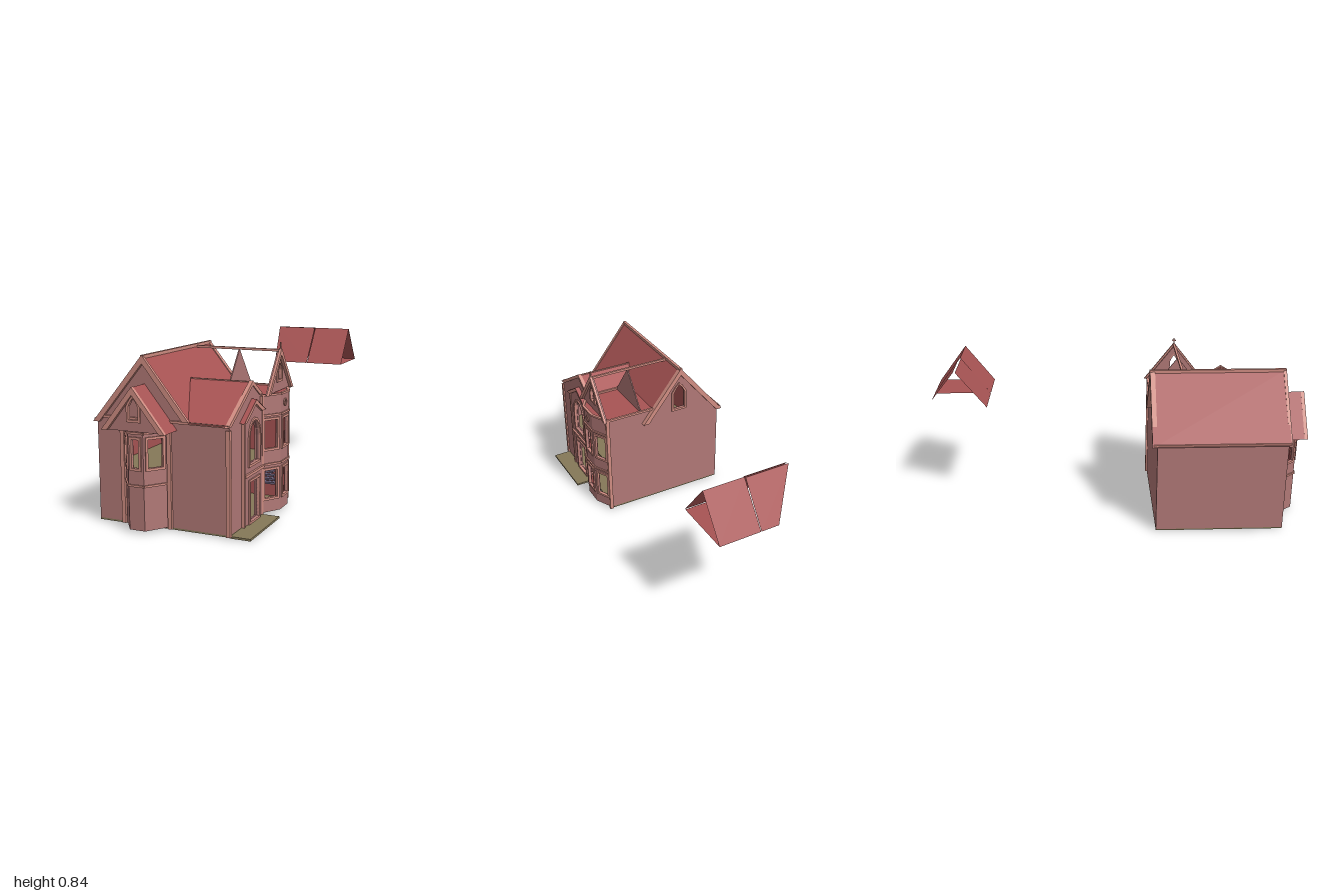
import * as THREE from 'three';

const mat = (color) => new THREE.MeshStandardMaterial({ color, side: THREE.DoubleSide, flatShading: true });

export function createModel() {
  const root = new THREE.Group();
  const WALL = mat(0xb07876), TRIM = mat(0xd08d82), ROOF = mat(0xa85454), FLOOR = mat(0x857858), STAIR = mat(0x6a6078);
  const T = 0.01; // wall thickness

  const add = (name, geo, m) => {
    const mesh = new THREE.Mesh(geo, m);
    mesh.name = name;
    root.add(mesh);
    return mesh;
  };
  const shapeOf = (pts, holes = []) => {
    const s = new THREE.Shape(pts.map((p) => new THREE.Vector2(...p)));
    holes.forEach((h) => s.holes.push(new THREE.Path(h.map((p) => new THREE.Vector2(...p)))));
    return s;
  };
  // Moves a geometry drawn in (u, y) to an upright plane: u runs along dir from origin, both given as [x, z]
  const stand = (geo, [ox, oz], [dx, dz]) => {
    const l = Math.hypot(dx, dz), ux = dx / l, uz = dz / l;
    const m = new THREE.Matrix4().makeBasis(
      new THREE.Vector3(ux, 0, uz), new THREE.Vector3(0, 1, 0), new THREE.Vector3(-uz, 0, ux));
    return geo.applyMatrix4(m.setPosition(ox, 0, oz));
  };
  // Flat slab on an upright plane, from offset n0 to n1 along its outward normal
  const slab = (name, pts, holes, o, d, n0, n1, m) =>
    add(name, stand(new THREE.ExtrudeGeometry(shapeOf(pts, holes), { depth: n1 - n0, bevelEnabled: false })
      .translate(0, 0, n0), o, d), m);
  // Frame around an opening
  const frame = (pts, o, d, w = 0.012) => {
    const us = pts.map((p) => p[0]), ys = pts.map((p) => p[1]);
    const u0 = Math.min(...us), u1 = Math.max(...us), y0 = Math.min(...ys), y1 = Math.max(...ys);
    const cu = (u0 + u1) / 2, cy = (y0 + y1) / 2, ku = 1 + 2 * w / (u1 - u0), ky = 1 + 2 * w / (y1 - y0);
    const outer = pts.map(([u, y]) => [cu + (u - cu) * ku, cy + (y - cy) * ky]);
    slab('windowFrame', outer, [pts], o, d, -T, 0.007, TRIM);
  };
  // Outer wall with framed openings and a coloured inner lining
  const wall = (name, pts, holes, o, d, lined = true) => {
    slab(name, pts, holes, o, d, -T, 0, WALL);
    if (lined) add(name + 'Lining', stand(new THREE.ShapeGeometry(shapeOf(pts, holes)).translate(0, 0, -T - 0.002), o, d), ROOF);
    holes.forEach((h) => frame(h, o, d));
  };
  const rect = (u0, u1, y0, y1) => [[u0, y0], [u1, y0], [u1, y1], [u0, y1]];
  const housePane = (c, w, y0, y1, h) =>
    [[c - w, y0], [c + w, y0], [c + w, y1 - h], [c + w * 0.5, y1 - h * 0.4], [c, y1], [c - w * 0.5, y1 - h * 0.4], [c - w, y1 - h]];
  // Gable rake boards
  const rake = (name, L, A, R, w, o, d, n0, n1) => {
    const dy = w * (A[1] - L[1]) / (A[0] - L[0]);
    slab(name, [L, [L[0] + w, L[1]], [A[0], A[1] - dy], [R[0] - w, R[1]], R, A], [], o, d, n0, n1, TRIM);
  };
  // Square bar between two points
  const bar = (name, a, b, w, h = w, m = TRIM) => {
    const p = new THREE.Vector3(...a), q = new THREE.Vector3(...b);
    const mesh = add(name, new THREE.BoxGeometry(w, h, p.distanceTo(q)), m);
    mesh.position.copy(p).lerp(q, 0.5);
    mesh.lookAt(q);
  };
  // Thin convex polygon
  const sheet = (name, pts, m) => {
    const v = [];
    for (let i = 1; i < pts.length - 1; i++) v.push(...pts[0], ...pts[i], ...pts[i + 1]);
    const g = new THREE.BufferGeometry();
    g.setAttribute('position', new THREE.Float32BufferAttribute(v, 3));
    g.computeVertexNormals();
    add(name, g, m);
  };
  const block = (name, x0, x1, y0, y1, z0, z1, m) =>
    add(name, new THREE.BoxGeometry(x1 - x0, y1 - y0, z1 - z0), m).position.set((x0 + x1) / 2, (y0 + y1) / 2, (z0 + z1) / 2);
  const FRONT = [1, 0], BACK = [-1, 0], RIGHT = [0, -1], LEFT = [0, 1];

  // Plan of the two bays
  const frontBay = [[-0.235, 0.875], [-0.165, 0.97], [-0.085, 0.97], [-0.015, 0.875]];
  const sideBay = [[0.3, 0.51], [0.365, 0.41], [0.365, 0.3], [0.315, 0.2]];

  // Floors and porch
  block('groundFloor', -0.385, 0.3, 0.005, 0.014, 0.2, 0.875, FLOOR);
  block('porch', 0.3, 0.4, 0, 0.01, 0.51, 0.87, FLOOR);
  block('upperFloor', -0.375, 0.29, 0.25, 0.257, 0.21, 0.865, FLOOR);
  for (const y of [0.012, 0.255])
    for (const bay of [frontBay, sideBay]) sheet('bayFloor', bay.map(([x, z]) => [x, y, z]), FLOOR);
  for (let i = 0; i < 6; i++) block('stairStep', 0.2, 0.28, 0.09 + i * 0.024, 0.1 + i * 0.024, 0.23 + i * 0.012, 0.26 + i * 0.012, STAIR);

  // Main walls
  wall('leftWall', rect(0.2, 0.875, 0.012, 0.5), [], [-0.385, 0], LEFT);
  slab('frontWall', [[-0.385, 0.012], [0.3, 0.012], [0.3, 0.52], [0.1, 0.52], [-0.13, 0.8], [-0.385, 0.5]],
    [rect(-0.225, -0.025, 0.02, 0.47)], [0, 0.875], FRONT, -T, 0, WALL);
  wall('backWall', [[-0.315, 0.012], [0.385, 0.012], [0.385, 0.5], [0.13, 0.8], [-0.035, 0.6], [-0.315, 0.6]],
    [housePane(0.13, 0.035, 0.56, 0.71, 0.05)], [0, 0.2], BACK);

  // Right wing wall, with a shallow entrance projection
  const door = rect(-0.675, -0.565, 0.02, 0.215);
  const arch = [[-0.68, 0.3], [-0.56, 0.3], [-0.56, 0.42]];
  for (let i = 1; i <= 8; i++) {
    const a = (i / 8) * Math.PI;
    arch.push([-0.62 + 0.06 * Math.cos(a), 0.42 + 0.085 * Math.sin(a)]);
  }
  slab('wingWall', [[-0.875, 0.012], [-0.51, 0.012], [-0.51, 0.61], [-0.615, 0.675], [-0.875, 0.52]],
    [door, arch], [0.3, 0], RIGHT, -T, 0, WALL);
  wall('entranceWall', [[-0.74, 0.012], [-0.51, 0.012], [-0.51, 0.535], [-0.62, 0.59], [-0.74, 0.515]],
    [door, arch], [0.312, 0], RIGHT, false);
  bar('entranceBelt', [0.315, 0.255, 0.74], [0.315, 0.255, 0.51], 0.014);
  bar('entranceCorner', [0.31, 0.012, 0.74], [0.31, 0.515, 0.74], 0.014);
  rake('entranceRake', [-0.765, 0.51], [-0.62, 0.602], [-0.505, 0.535], 0.035, [0.312, 0], RIGHT, 0, 0.012);
  sheet('entranceRoof', [[0.3, 0.512, 0.765], [0.326, 0.512, 0.765], [0.326, 0.604, 0.62], [0.3, 0.604, 0.62]], ROOF);
  sheet('entranceRoof', [[0.3, 0.537, 0.505], [0.326, 0.537, 0.505], [0.326, 0.604, 0.62], [0.3, 0.604, 0.62]], ROOF);

  // Corner posts and eave bands
  for (const [x, z, h] of [[0.298, 0.878, 0.5], [-0.247, 0.878, 0.48], [0, 0.878, 0.48], [0.303, 0.51, 0.6], [0.318, 0.2, 0.6]])
    bar('cornerPost', [x, 0.008, z], [x, h, z], 0.02);
  bar('frontEave', [-0.36, 0.518, 0.88], [0.3, 0.518, 0.88], 0.012);
  bar('leftEave', [-0.39, 0.5, 0.18], [-0.39, 0.5, 0.885], 0.014);

  // Main roof
  const ridge = [-0.13, 0.81];
  for (const [x, y] of [[-0.4, 0.495], [0.104, 0.518]])
    sheet('mainRoof', [[x, y, 0.175], [x, y, 0.885], [...ridge, 0.885], [...ridge, 0.175]], ROOF);
  bar('mainRidge', [-0.13, 0.809, 0.172], [-0.13, 0.809, 0.888], 0.016);
  rake('frontRake', [-0.4, 0.492], [-0.13, 0.818], [0.106, 0.522], 0.033, [0, 0.875], FRONT, 0, 0.016);
  rake('backRake', [-0.106, 0.522], [0.13, 0.818], [0.4, 0.492], 0.033, [0, 0.2], BACK, 0, 0.026);

  // Right wing roof, cut along the main slope
  sheet('wingRoofFront', [[-0.023, 0.682, 0.615], [0.3, 0.682, 0.615], [0.3, 0.518, 0.89], [0.104, 0.518, 0.89]], ROOF);
  sheet('wingRoofBack', [[-0.023, 0.682, 0.615], [0.3, 0.682, 0.615], [0.3, 0.605, 0.495], [0.04, 0.605, 0.495]], ROOF);
  bar('wingRidge', [-0.02, 0.681, 0.615], [0.3, 0.681, 0.615], 0.008);
  bar('wingBackEave', [0.04, 0.605, 0.497], [0.3, 0.605, 0.497], 0.01);
  rake('wingRake', [-0.895, 0.515], [-0.615, 0.688], [-0.495, 0.61], 0.035, [0.285, 0], RIGHT, 0, 0.02);

  // Bay facets with windows, belts and mullions
  const buildBay = (name, plan, top, windows, belts) => {
    for (let i = 0; i < plan.length - 1; i++) {
      const a = plan[i], b = plan[i + 1], d = [b[0] - a[0], b[1] - a[1]], l = Math.hypot(...d);
      wall(name + 'Wall', rect(0, l, 0.012, top), windows.map(([y0, y1]) => rect(0.022, l - 0.022, y0, y1)), a, d);
      for (const y of belts) bar(name + 'Belt', [a[0], y, a[1]], [b[0], y, b[1]], 0.014, 0.01);
    }
  };
  buildBay('frontBay', frontBay, 0.48, [[0.308, 0.442]], [0.225, 0.472]);
  buildBay('sideBay', sideBay, 0.6, [[0.085, 0.225], [0.335, 0.475]], [0.255, 0.5, 0.6]);

  // Front bay gable
  wall('frontBayGable', [[-0.275, 0.48], [0.025, 0.48], [-0.125, 0.67]],
    [housePane(-0.125, 0.024, 0.535, 0.635, 0.04)], [0, 0.978], FRONT, false);
  rake('frontBayRake', [-0.29, 0.48], [-0.125, 0.687], [0.04, 0.48], 0.03, [0, 0.978], FRONT, 0, 0.018);
  for (const x of [-0.29, 0.04])
    sheet('frontBayRoof', [[x, 0.48, 0.876], [x, 0.48, 0.996], [-0.125, 0.685, 0.996], [-0.125, 0.685, 0.876]], ROOF);
  sheet('frontBaySoffit', [[-0.275, 0.481, 0.876], [0.025, 0.481, 0.876], [0.025, 0.481, 0.978], [-0.275, 0.481, 0.978]], WALL);

  // Side bay attic: floor, vent, gables and exposed ridge beam
  sheet('atticFloor', [[0.04, 0.6, 0.51], [0.3, 0.6, 0.51], [0.365, 0.6, 0.41], [0.365, 0.6, 0.3], [0.315, 0.6, 0.2], [0.04, 0.6, 0.2]], ROOF);
  const vent = add('roundVent', new THREE.TorusGeometry(0.015, 0.005, 6, 12), TRIM);
  vent.rotation.y = Math.PI / 2;
  vent.position.set(0.367, 0.55, 0.355);
  wall('sideGable', [[-0.5, 0.602], [-0.19, 0.602], [-0.345, 0.8]],
    [housePane(-0.345, 0.022, 0.66, 0.745, 0.04)], [0.33, 0], RIGHT, false);
  rake('sideGableRake', [-0.513, 0.6], [-0.345, 0.815], [-0.177, 0.6], 0.026, [0.33, 0], RIGHT, 0, 0.014);
  slab('innerGable', [[-0.5, 0.602], [-0.19, 0.602], [-0.345, 0.8]], [], [0.118, 0], RIGHT, -0.006, 0, WALL);
  bar('ridgeBeam', [-0.12, 0.803, 0.345], [0.335, 0.803, 0.345], 0.012);
  bar('backAtticEave', [0.04, 0.602, 0.195], [0.335, 0.602, 0.195], 0.012);
  bar('finial', [0.338, 0.8, 0.345], [0.338, 0.843, 0.3451], 0.006);
  bar('finialCross', [0.338, 0.829, 0.335], [0.338, 0.829, 0.355], 0.005);

  // Lifted-off roof set behind the house, in two sections
  const slope = (z, zr, xe) => {
    sheet('looseRoof', [[-0.12, 0.81, zr], [0.115, 0.81, zr], [0.115, 0.605, z], [xe, 0.605, z]], ROOF);
    sheet('looseRoof', [[0.117, 0.81, -0.845], [0.335, 0.81, -0.845], [0.335, 0.605, z], [0.117, 0.605, z]], ROOF);
  };
  slope(-1, -0.851, 0.02);
  slope(-0.69, -0.84, -0.095);
  sheet('looseCeiling', [[0.117, 0.606, -0.995], [0.335, 0.606, -0.995], [0.335, 0.606, -0.695], [0.117, 0.606, -0.695]], ROOF);

  return root;
}
